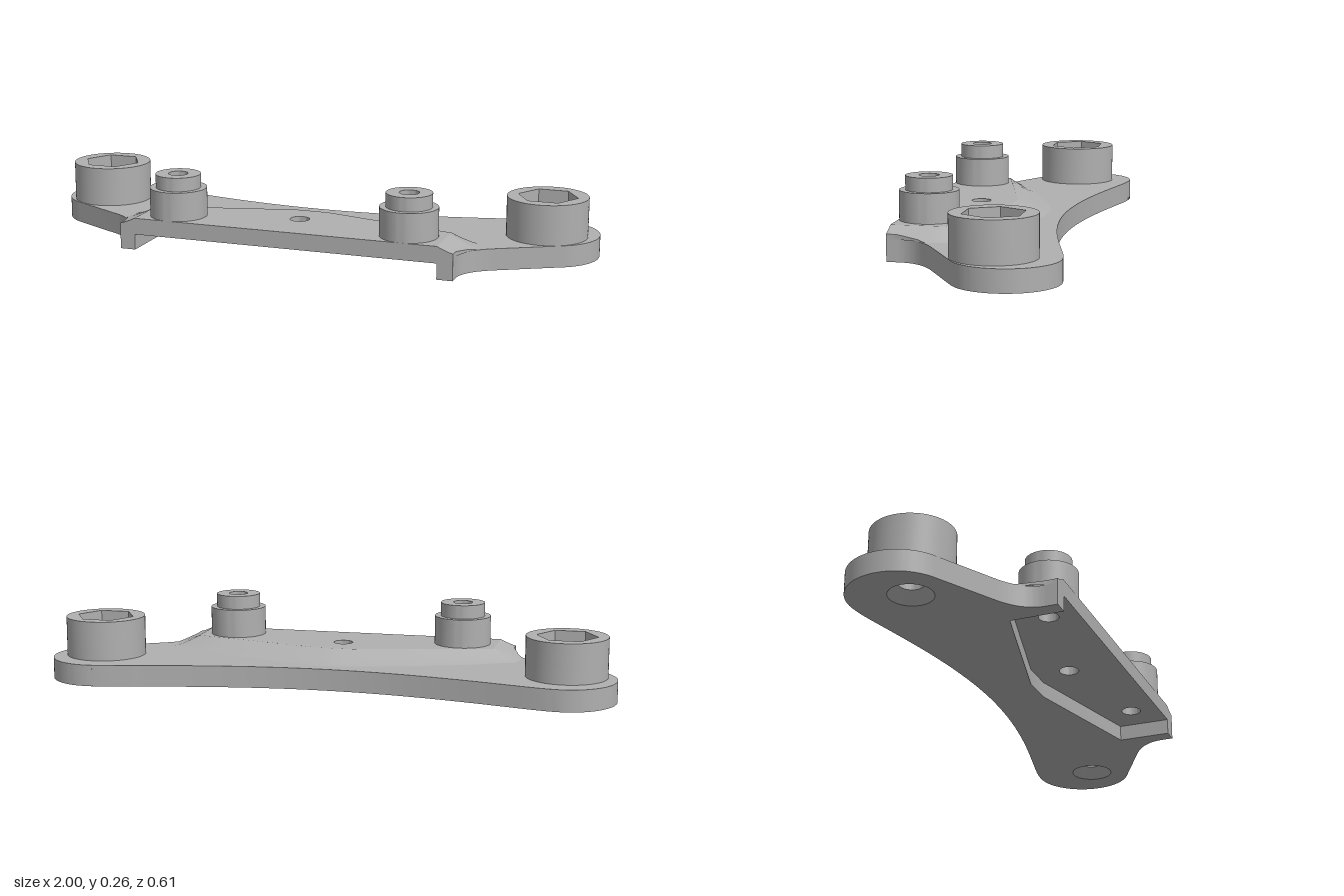
import * as THREE from 'three';
import { toCreasedNormals } from 'three/addons/utils/BufferGeometryUtils.js';

const metal = new THREE.MeshStandardMaterial({ color: 0xb0b0b0, side: THREE.DoubleSide });
metal.name = 'grey metal';

const WING = 0.075, PAD = 0.113, POCKET = 0.055;
const FRONT = 0.307;

function add(parent, geometry, name) {
  const mesh = new THREE.Mesh(geometry, metal);
  mesh.name = name;
  parent.add(mesh);
  return mesh;
}

// Shapes are drawn with y = -z, then stood up between two heights
function slab(shape, y0, y1) {
  const g = new THREE.ExtrudeGeometry(shape, { depth: y1 - y0, bevelEnabled: false, curveSegments: 32 });
  g.rotateX(-Math.PI / 2).translate(0, y0, 0);
  return toCreasedNormals(g, 0.5);
}

const circle = (x, z, r, Type = THREE.Path) => new Type().absarc(x, -z, r, 0, Math.PI * 2, false);

function hexagon(r) {
  const pts = [];
  for (let i = 0; i < 6; i++) pts.push(new THREE.Vector2(r * Math.cos(i * Math.PI / 3), r * Math.sin(i * Math.PI / 3)));
  return new THREE.Path(pts);
}

function ring(r, hole, y0, y1) {
  const s = circle(0, 0, r, THREE.Shape);
  s.holes.push(hole);
  return slab(s, y0, y1);
}

// Right-hand outline mirrored to the other side
function mirrored(half) {
  const other = half.filter(p => Math.abs(p.x) > 1e-4).map(p => new THREE.Vector2(-p.x, p.y)).reverse();
  return new THREE.Shape([...half, ...other]);
}

// Strip surface through rows of points
function loft(rows) {
  const n = rows[0].length, index = [];
  for (let i = 0; i < rows.length - 1; i++) {
    for (let j = 0; j < n - 1; j++) {
      const a = i * n + j, b = a + n;
      index.push(a, a + 1, b, b, a + 1, b + 1);
    }
  }
  const g = new THREE.BufferGeometry();
  g.setAttribute('position', new THREE.Float32BufferAttribute(rows.flat(2), 3));
  g.setIndex(index);
  g.computeVertexNormals();
  return g;
}

export function createModel() {
  const model = new THREE.Group();
  model.name = 'mountingBracket';

  // Winged base plate with the pocket cut from its front edge
  const half = new THREE.Path();
  half.moveTo(0, 0.18);
  half.bezierCurveTo(0.38, 0.18, 0.7, 0.3, 0.8, 0.305);
  half.absarc(0.825, 0.132, 0.175, 1.714, -1.075, true);
  half.lineTo(0.7, -0.135);
  half.quadraticCurveTo(0.6, -0.19, 0.6, -0.27);
  half.lineTo(0.6, -FRONT);
  half.lineTo(0.545, -FRONT);
  half.lineTo(0.545, -0.122);
  half.lineTo(0.06, 0);
  const base = mirrored(half.getPoints(24));
  for (const s of [1, -1]) base.holes.push(circle(s * 0.825, -0.095, 0.075));
  add(model, slab(base, 0, WING), 'wingPlate');

  // Raised pad above the pocket
  const pad = mirrored([[0.06, 0], [0.545, -0.122], [0.545, -FRONT]].map(p => new THREE.Vector2(...p)));
  for (const [x, z] of [[0, 0.12], [0.42, 0.207], [-0.42, 0.207]]) pad.holes.push(circle(x, z, 0.034));
  add(model, slab(pad, POCKET, PAD), 'raisedPad');

  // Sloped shoulder from pad to wings: inner x, z then outer x, z, y
  const shoulder = [
    [0.545, FRONT, 0.6, FRONT, 0.092],
    [0.545, 0.25, 0.6, 0.27, 0.091],
    [0.545, 0.19, 0.625, 0.196, 0.082],
    [0.545, 0.15, 0.645, 0.165, WING],
    [0.545, 0.122, 0.63, 0.09, WING],
    [0.41, 0.088, 0.45, 0, WING],
    [0.23, 0.043, 0.25, -0.07, WING],
    [0.06, 0, 0.07, -0.12, WING],
    [0, 0, 0, -0.125, WING],
  ];
  const steps = 6;
  const slope = shoulder.map(([xi, zi, xo, zo, yo]) => Array.from({ length: steps + 1 }, (_, i) => {
    const t = i / steps;
    return [xi + (xo - xi) * t, yo + (PAD - yo) * Math.pow(1 - t, 1.25), zi + (zo - zi) * t];
  }));
  const drop = row => row.map(([x, , z]) => [x, WING, z]);
  const edge = slope.slice(0, 4).map(row => row[steps]);

  for (const s of [1, -1]) {
    const side = new THREE.Group();
    side.name = s > 0 ? 'leftSide' : 'rightSide';
    side.scale.x = s;
    model.add(side);

    add(side, loft(slope), 'shoulder');
    add(side, loft([drop(slope[0]), slope[0]]), 'shoulderFront');
    add(side, loft([drop(edge), edge]), 'shoulderEdge');

    // Large boss with hexagonal socket and countersunk hole
    const large = new THREE.Group();
    large.name = 'largeBoss';
    large.position.set(0.825, 0, -0.095);
    side.add(large);
    add(large, ring(0.14, hexagon(0.104), WING, 0.214), 'hexSocket');
    const sink = [[0.075, 0], [0.075, WING], [0.042, WING], [0.042, 0.04], [0.075, 0]].map(p => new THREE.Vector2(...p));
    add(large, toCreasedNormals(new THREE.LatheGeometry(sink, 48), 0.5), 'countersink');

    // Small stepped boss
    const small = new THREE.Group();
    small.name = 'smallBoss';
    small.position.set(0.42, 0, 0.207);
    side.add(small);
    add(small, ring(0.1, circle(0, 0, 0.034), PAD, 0.214), 'lowerStep');
    add(small, ring(0.079, circle(0, 0, 0.034), 0.214, 0.262), 'upperStep');
  }
  return model;
}
